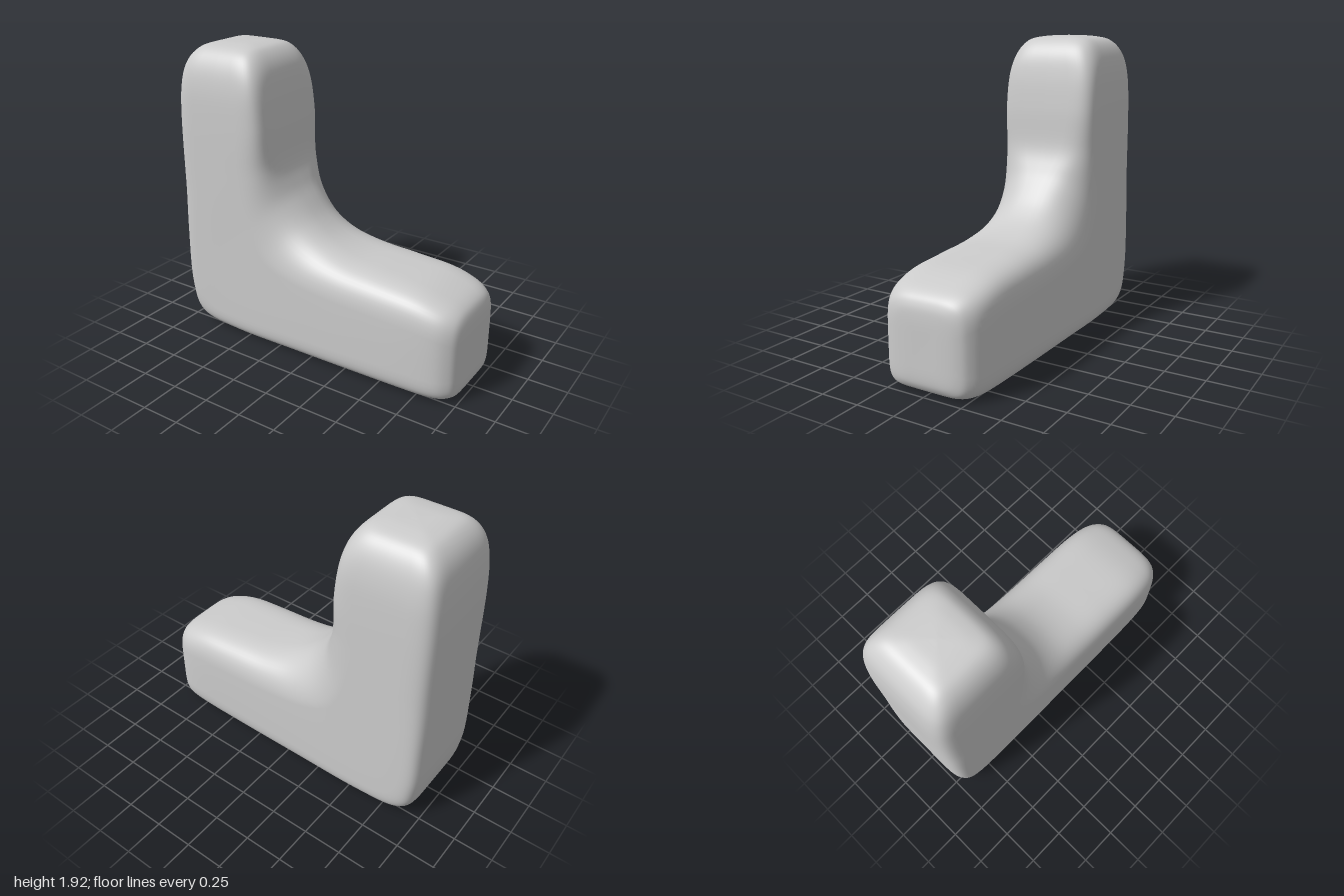
import * as THREE from 'three';

// Cross-sections from the column top, round the bend, to the foot end:
// [inner x, inner y, outer x, outer y, half depth, inner squareness]
const SECTIONS = [
  [-0.66, 1.92, -0.66, 1.92, 0, 5],
  [-0.53, 1.913, -0.79, 1.913, 0.13, 5],
  [-0.45, 1.885, -0.88, 1.885, 0.23, 5],
  [-0.385, 1.8, -0.95, 1.8, 0.295, 5],
  [-0.35, 1.66, -0.985, 1.66, 0.328, 6],
  [-0.325, 1.45, -1, 1.43, 0.338, 6],
  [-0.305, 1.21, -1, 1.02, 0.34, 4.5],
  [-0.25, 1.07, -1, 0.6, 0.34, 3],
  [-0.18, 0.965, -0.985, 0.25, 0.34, 2.5],
  [-0.08, 0.85, -0.9, 0.055, 0.34, 2.5],
  [0.05, 0.76, -0.6, 0.005, 0.34, 2.8],
  [0.22, 0.705, -0.1, 0, 0.34, 3.4],
  [0.45, 0.68, 0.38, 0, 0.34, 3.8],
  [0.7, 0.655, 0.7, 0, 0.336, 4.2],
  [0.86, 0.615, 0.87, 0.003, 0.318, 4.2],
  [0.95, 0.573, 0.95, 0.015, 0.275, 4.2],
  [0.988, 0.52, 0.985, 0.045, 0.22, 4.5],
  [1, 0.44, 1, 0.11, 0.13, 5],
  [1, 0.28, 1, 0.28, 0, 5],
];
const OUTER_SQUARENESS = 6.5;
const STEPS = 6; // rows per section
const QUARTER = 14; // points per rounded quarter

function makeCurve(a, b, c) {
  const points = SECTIONS.map((s) => new THREE.Vector3(s[a], s[b], s[c]));
  return new THREE.CatmullRomCurve3(points, false, 'catmullrom', 0.5);
}

// One superellipse quarter point: [along, depth]
function roundedPoint(angle, squareness) {
  const e = 2 / squareness;
  return [Math.max(0, Math.cos(angle)) ** e, Math.sin(angle) ** e];
}

// Half of a section, from the outer middle to the inner middle: [share along, share of depth].
// The softer the inner side, the shorter both roundings and the wider the flat face between.
function halfProfile(squareness) {
  const innerShare = Math.min(0.5, 0.2 + 0.065 * squareness);
  const outerShare = Math.min(0.5, 0.12 * squareness);
  const points = [];
  for (let k = 0; k <= QUARTER; k++) {
    const [along, depth] = roundedPoint((k / QUARTER) * Math.PI / 2, OUTER_SQUARENESS);
    points.push([outerShare * (1 - along), depth]);
  }
  for (let k = 1; k <= QUARTER; k++) {
    const [along, depth] = roundedPoint((1 - k / QUARTER) * Math.PI / 2, squareness);
    points.push([1 - innerShare * (1 - along), depth]);
  }
  return points;
}

function bentBlockGeometry() {
  const inner = makeCurve(0, 1, 4), outer = makeCurve(2, 3, 5);
  const rows = (SECTIONS.length - 1) * STEPS, ring = QUARTER * 4;
  const positions = [], index = [];
  for (let r = 0; r <= rows; r++) {
    const i = inner.getPoint(r / rows), o = outer.getPoint(r / rows);
    const half = halfProfile(o.z);
    for (let k = 0; k < ring; k++) {
      const front = k <= ring / 2;
      const [t, depth] = half[front ? k : ring - k];
      positions.push(
        THREE.MathUtils.lerp(o.x, i.x, t),
        Math.max(0, THREE.MathUtils.lerp(o.y, i.y, t)),
        (front ? 1 : -1) * depth * i.z,
      );
      if (r < rows) {
        const a = r * ring + k, c = r * ring + (k + 1) % ring;
        index.push(a, a + ring, c, c, a + ring, c + ring);
      }
    }
  }
  const geometry = new THREE.BufferGeometry();
  geometry.setAttribute('position', new THREE.Float32BufferAttribute(positions, 3));
  geometry.setIndex(index);
  geometry.computeVertexNormals();
  // Each end point gets one shared normal
  const normals = geometry.attributes.normal;
  for (let k = 0; k < ring; k++) {
    normals.setXYZ(k, 0, 1, 0);
    normals.setXYZ(rows * ring + k, 1, 0, 0);
  }
  return geometry;
}

export function createModel() {
  const group = new THREE.Group();
  group.name = 'softLBlock';
  const body = new THREE.Mesh(bentBlockGeometry(), new THREE.MeshStandardMaterial({ color: 0xcccccc }));
  body.name = 'bentBody';
  group.add(body);
  return group;
}
